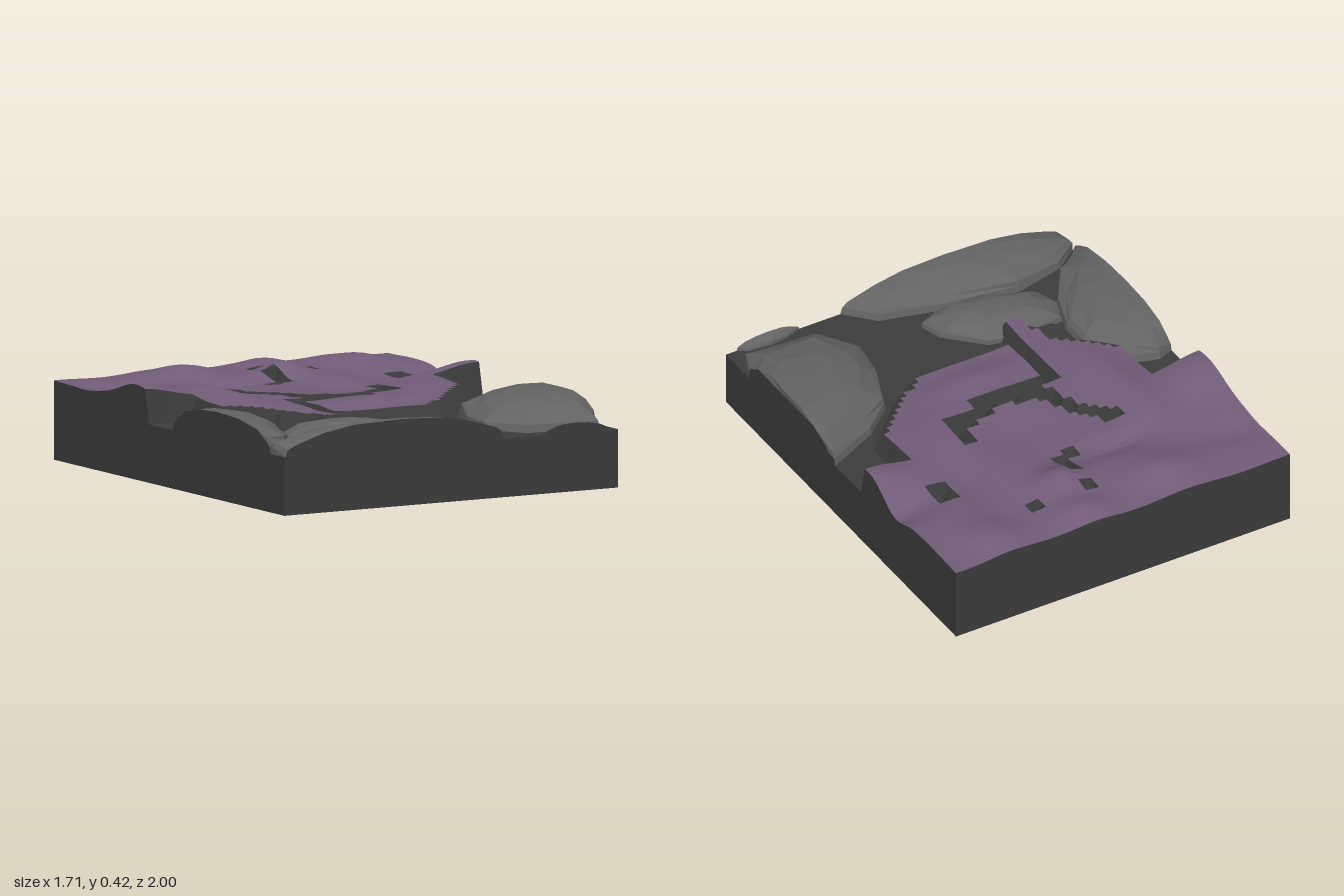
import * as THREE from 'three';

const HX = 0.855, HZ = 1, GROUND = 0.26, NX = 50, NZ = 58;

// Outline of the mossy ground as [x, z]
const MOSS = [[-1, -1.1], [1, -1.1], [1, -0.2], [0.645, -0.2], [0.645, 0.02], [0.29, 0.36], [-0.225, 0.36],
  [-0.26, 0.36], [-0.26, 0.5], [-0.36, 0.5], [-0.37, 0.4], [-0.5, 0.37], [-0.51, 0.2], [-0.6, 0.08], [-0.645, 0.06], [-0.645, -0.2], [-1, -0.2]];

// Cracks and pits in the moss: x1, z1, x2, z2
const CRACKS = [
  [-0.33, -0.34, -0.2, -0.2], [-0.2, -0.2, -0.16, -0.06], [-0.16, -0.06, 0.02, 0.0], [-0.25, 0.03, 0.13, 0.03],
  [-0.25, 0.03, -0.25, 0.42], [0.1, 0.01, 0.16, -0.04], [0.16, -0.04, 0.3, -0.06], [0.32, -0.05, 0.32, -0.19],
  [-0.54, 0.2, -0.39, 0.36], [0.03, -0.75, 0.03, -0.75], [0.32, -0.75, 0.32, -0.75],
  [0.04, -0.62, 0.04, -0.53], [-0.03, -0.48, -0.03, -0.48], [0.6, -0.49, 0.6, -0.4],
];

// Swells and hollows: x, z, radius x, radius z, height
const SWELLS = [
  [-0.85, -0.3, 0.22, 0.2, 0.072], [0.85, -0.24, 0.22, 0.13, 0.055], [0.85, -0.47, 0.2, 0.1, -0.045],
  [-0.47, -0.25, 0.09, 0.3, 0.035], [-0.3, -0.82, 0.2, 0.13, 0.05], [0.12, -0.66, 0.12, 0.1, 0.06],
  [0.15, -0.9, 0.14, 0.1, 0.035], [-0.22, -0.54, 0.17, 0.07, -0.035], [0.05, -0.25, 0.25, 0.17, -0.018],
  [0.46, -0.4, 0.1, 0.2, -0.025], [0.6, -0.85, 0.14, 0.13, 0.035], [-0.72, -0.72, 0.14, 0.1, -0.025],
  [0.55, -0.05, 0.1, 0.15, 0.012], [0.05, 0.2, 0.3, 0.07, 0.016], [0, 0.35, 0.6, 0.2, -0.022],
];

// Rocks: centre x, z, peak height, clockwise footprint
const ROCKS = [
  { x: -0.87, z: 0.42, top: 0.39, foot: [[-1.05, 0.05], [-0.9, 0.03], [-0.78, 0], [-0.65, 0.04], [-0.53, 0.25], [-0.53, 0.4], [-0.59, 0.58], [-0.7, 0.75], [-0.8, 0.82], [-0.95, 0.88], [-1.2, 0.5]] },
  { x: -0.3, z: 0.61, top: 0.345, foot: [[-0.59, 0.57], [-0.55, 0.46], [-0.4, 0.43], [-0.18, 0.47], [-0.02, 0.63], [0.01, 0.74], [-0.1, 0.79], [-0.3, 0.77], [-0.55, 0.68]] },
  { x: -0.25, z: 1.02, top: 0.387, foot: [[-0.9, 0.89], [-0.74, 0.8], [-0.5, 0.74], [-0.15, 0.79], [0.15, 0.87], [0.27, 1], [0.2, 1.2], [-0.3, 1.3], [-0.85, 1.2]] },
  { x: 0.72, z: 0.52, top: 0.395, foot: [[0.33, 0.72], [0.36, 0.52], [0.45, 0.3], [0.6, 0.17], [0.86, 0.05], [1.05, 0.1], [1.15, 0.5], [1.05, 0.8], [0.8, 0.93], [0.45, 0.9]] },
  { x: 0.64, z: 1.02, top: 0.305, foot: [[0.48, 1], [0.56, 0.97], [0.64, 0.96], [0.75, 0.97], [0.8, 1], [0.75, 1.05], [0.55, 1.05]] },
];

function inside(x, z, poly) {
  let hit = false;
  poly.forEach(([ax, az], i) => {
    const [bx, bz] = poly[(i + 1) % poly.length];
    if ((az > z) !== (bz > z) && x < ax + (bx - ax) * (z - az) / (bz - az)) hit = !hit;
  });
  return hit;
}

function nearSegment(x, z, [ax, az, bx, bz]) {
  const dx = bx - ax, dz = bz - az;
  const t = Math.min(1, Math.max(0, ((x - ax) * dx + (z - az) * dz) / (dx * dx + dz * dz || 1)));
  return Math.hypot(x - ax - t * dx, z - az - t * dz) < 0.02;
}

const mossy = (x, z) => inside(x, z, MOSS) && !CRACKS.some((c) => nearSegment(x, z, c));

function mossHeight(x, z) {
  let y = 0.353 + 0.006 * Math.sin(x * 11 + z * 4) * Math.sin(z * 9 - x * 3);
  for (const [sx, sz, rx, rz, h] of SWELLS) y += h * Math.exp(-(((x - sx) / rx) ** 2) - ((z - sz) / rz) ** 2);
  return y;
}

// Flat-shaded mesh from quads of four corner points
function quadMesh(name, quads, color) {
  const pos = [];
  for (const [a, b, c, d] of quads) pos.push(...a, ...b, ...c, ...a, ...c, ...d);
  const geo = new THREE.BufferGeometry();
  geo.setAttribute('position', new THREE.Float32BufferAttribute(pos, 3));
  geo.computeVertexNormals();
  const mesh = new THREE.Mesh(geo, new THREE.MeshStandardMaterial({ color, flatShading: true, side: THREE.DoubleSide }));
  mesh.name = name;
  return mesh;
}

function makeMoss() {
  const grid = [];
  for (let j = 0; j <= NZ; j++) {
    for (let i = 0; i <= NX; i++) {
      const x = -HX + 2 * HX * i / NX, z = -HZ + 2 * HZ * j / NZ;
      grid.push([x, mossy(x, z) ? mossHeight(x, z) : GROUND, z]);
    }
  }
  const at = (i, j) => grid[j * (NX + 1) + i];
  const top = [], earth = [];
  for (let j = 0; j < NZ; j++) {
    for (let i = 0; i < NX; i++) {
      const q = [at(i, j), at(i, j + 1), at(i + 1, j + 1), at(i + 1, j)];
      const raised = q.filter((p) => p[1] > GROUND).length;
      if (raised === 4) top.push(q);
      else if (raised) earth.push(q);
    }
  }
  // Cut faces along the tile border
  const cut = (a, b) => {
    if (a[1] > GROUND || b[1] > GROUND) earth.push([[a[0], GROUND, a[2]], [b[0], GROUND, b[2]], b, a]);
  };
  for (let i = 0; i < NX; i++) cut(at(i + 1, 0), at(i, 0));
  for (let j = 0; j < NZ; j++) {
    cut(at(0, j), at(0, j + 1));
    cut(at(NX, j + 1), at(NX, j));
  }
  return [quadMesh('mossSurface', top, 0x725c78), quadMesh('earthWalls', earth, 0x3c3c3c)];
}

// Domed rock made of shrinking footprints, trimmed at the tile border
function makeRock({ x, z, top, foot }) {
  const trim = (px, y, pz) => [Math.min(HX, Math.max(-HX, px)), y, Math.min(HZ, pz)];
  const rings = [[1, 0], [0.98, 0.25], [0.92, 0.42], [0.7, 0.74], [0.4, 0.94], [0, 1]].map(([s, h], k) =>
    foot.map(([fx, fz], i) => {
      const wobble = k > 1 && k < 5 ? 1 + 0.05 * Math.sin(i * 2.4 + k * 1.7) : 1;
      return trim(x + (fx - x) * s * wobble, GROUND + (top - GROUND) * h, z + (fz - z) * s * wobble);
    }));
  const stone = [], cut = [];
  for (let k = 0; k < rings.length - 1; k++) {
    foot.forEach((_, i) => {
      const n = (i + 1) % foot.length;
      const q = [rings[k][i], rings[k + 1][i], rings[k + 1][n], rings[k][n]];
      const onBorder = q.every((p) => p[2] === HZ) || q.every((p) => Math.abs(p[0]) === HX);
      (onBorder ? cut : stone).push(q);
    });
  }
  const rock = new THREE.Group();
  rock.name = 'rock';
  rock.add(quadMesh('rockSurface', stone, 0x636363));
  if (cut.length) rock.add(quadMesh('rockCut', cut, 0x3c3c3c));
  return rock;
}

export function createModel() {
  const model = new THREE.Group();
  model.name = 'terrainTile';
  const base = new THREE.Mesh(new THREE.BoxGeometry(2 * HX, GROUND, 2 * HZ),
    new THREE.MeshStandardMaterial({ color: 0x3c3c3c, flatShading: true }));
  base.name = 'base';
  base.position.y = GROUND / 2;
  model.add(base, ...makeMoss(), ...ROCKS.map(makeRock));
  return model;
}
